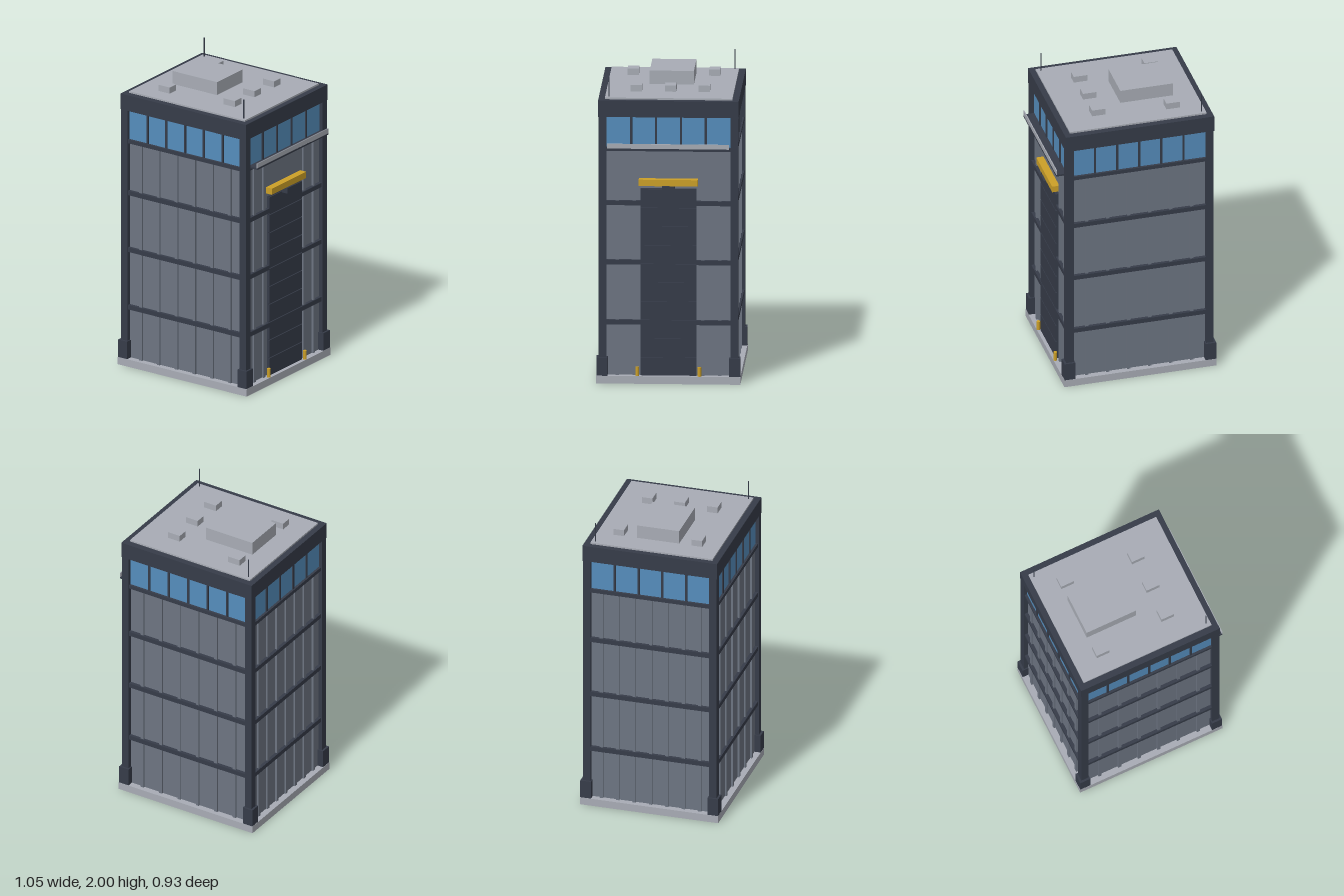
import * as THREE from 'three';

const mat = (name, color) => Object.assign(new THREE.MeshStandardMaterial({ color }), { name });

export function createModel() {
  const dark = mat('dark steel', 0x363c49);
  const wall = mat('grey cladding', 0x6d7582);
  const light = mat('light concrete', 0xa8acb5);
  const glass = mat('blue glass', 0x558dbc);
  const yellow = mat('safety yellow', 0xcca028);

  const model = new THREE.Group();
  const tower = new THREE.Group();
  tower.name = 'tower';
  tower.position.x = -0.02;
  model.add(tower);

  // box given by its min and max on each axis
  const box = (parent, name, m, x0, x1, y0, y1, z0, z1) => {
    const mesh = new THREE.Mesh(new THREE.BoxGeometry(x1 - x0, y1 - y0, z1 - z0), m);
    mesh.position.set((x0 + x1) / 2, (y0 + y1) / 2, (z0 + z1) / 2);
    mesh.name = name;
    parent.add(mesh);
    return mesh;
  };
  const rod = (name, m, r, x, y0, y1, z, sides) => {
    const mesh = new THREE.Mesh(new THREE.CylinderGeometry(r, r, y1 - y0, sides), m);
    mesh.position.set(x, (y0 + y1) / 2, z);
    mesh.name = name;
    tower.add(mesh);
  };

  // base, core, parapet and roof
  box(tower, 'base', light, -0.508, 0.508, 0, 0.05, -0.464, 0.464);
  box(tower, 'core', wall, -0.465, 0.465, 0.05, 1.76, -0.422, 0.422);
  box(tower, 'parapet', dark, -0.495, 0.495, 1.752, 1.86, -0.452, 0.452);
  box(tower, 'roof', light, -0.456, 0.456, 1.85, 1.871, -0.41, 0.41);

  // corner columns with feet
  for (const sx of [-1, 1]) for (const sz of [-1, 1]) {
    const corner = new THREE.Group();
    corner.name = 'cornerColumn';
    corner.position.set(sx * 0.467, 0, sz * 0.424);
    box(corner, 'column', dark, -0.025, 0.025, 0.05, 1.755, -0.025, 0.025);
    const foot = box(corner, 'foot', dark, -0.036, 0.036, 0.045, 0.17, -0.036, 0.036);
    foot.position.x += sx * 0.003;
    foot.position.z += sz * 0.003;
    tower.add(corner);
  }

  // one facade, built facing +z with its wall plane at z = 0
  const facade = (name, angle, dist, half, panes, ribs, doorHalf) => {
    const f = new THREE.Group();
    f.name = name;
    f.rotation.y = angle;
    f.position.set(Math.sin(angle) * dist, 0, Math.cos(angle) * dist);
    for (const x of ribs) box(f, 'rib', wall, x - 0.011, x + 0.011, 0.05, 1.53, -0.005, 0.012);
    for (const y of [0.4, 0.795, 1.185]) {
      if (doorHalf) {
        box(f, 'band', dark, -half, -doorHalf, y - 0.015, y + 0.015, -0.005, 0.022);
        box(f, 'band', dark, doorHalf, half, y - 0.015, y + 0.015, -0.005, 0.022);
      } else box(f, 'band', dark, -half, half, y - 0.015, y + 0.015, -0.005, 0.022);
    }
    box(f, 'windowSill', dark, -half, half, 1.527, 1.552, -0.005, 0.022);
    box(f, 'windowStrip', glass, -half, half, 1.552, 1.752, -0.002, 0.006);
    for (let i = 1; i < panes; i++) {
      const x = -half + (2 * half * i) / panes;
      box(f, 'mullion', dark, x - 0.007, x + 0.007, 1.552, 1.752, 0, 0.014);
    }
    tower.add(f);
    return f;
  };
  const wide = [-0.35, -0.21, -0.07, 0.07, 0.21, 0.35];
  facade('frontFacade', 0, 0.422, 0.443, 6, wide);
  facade('backFacade', Math.PI, 0.422, 0.443, 6, wide);
  facade('rightFacade', -Math.PI / 2, 0.465, 0.4, 5, [-0.33, -0.22, -0.11, 0, 0.11, 0.22, 0.33]);
  const entry = facade('leftFacade', Math.PI / 2, 0.465, 0.4, 5, [-0.33, -0.22, 0.22, 0.33], 0.18);

  // tall shutter door of stacked slats
  box(entry, 'doorBacking', dark, -0.18, 0.18, 0.05, 1.28, -0.005, 0.014);
  const slats = 10, step = 1.23 / slats;
  for (let i = 0; i < slats; i++) {
    const y = 0.05 + i * step;
    box(entry, 'doorSlat', dark, -0.18, 0.18, y + 0.003, y + step - 0.003, 0, 0.022);
  }

  // lintel, lamp and balcony over the door
  box(entry, 'lintel', yellow, -0.19, 0.19, 1.303, 1.345, -0.005, 0.048);
  box(entry, 'lamp', dark, -0.04, 0.04, 1.268, 1.304, -0.005, 0.062);
  box(entry, 'balconyFloor', dark, -0.393, 0.393, 1.543, 1.555, 0, 0.078);
  box(entry, 'balconyRail', light, -0.393, 0.393, 1.553, 1.586, 0.072, 0.078);

  // bollards
  for (const z of [-0.2, 0.2]) rod('bollard', yellow, 0.012, 0.496, 0.04, 0.11, z, 10);

  // rooftop units
  box(tower, 'plantRoom', light, -0.305, 0.045, 1.865, 1.96, -0.143, 0.141);
  for (const [x, z] of [[-0.263, -0.265], [-0.263, 0.26], [0.22, -0.22], [0.22, -0.003], [0.22, 0.217]])
    box(tower, 'roofUnit', light, x - 0.045, x + 0.045, 1.865, 1.913, z - 0.036, z + 0.036);

  // antennas
  for (const s of [-1, 1]) rod('antenna', dark, 0.004, s * 0.428, 1.86, 2, s * 0.384, 8);

  return model;
}
